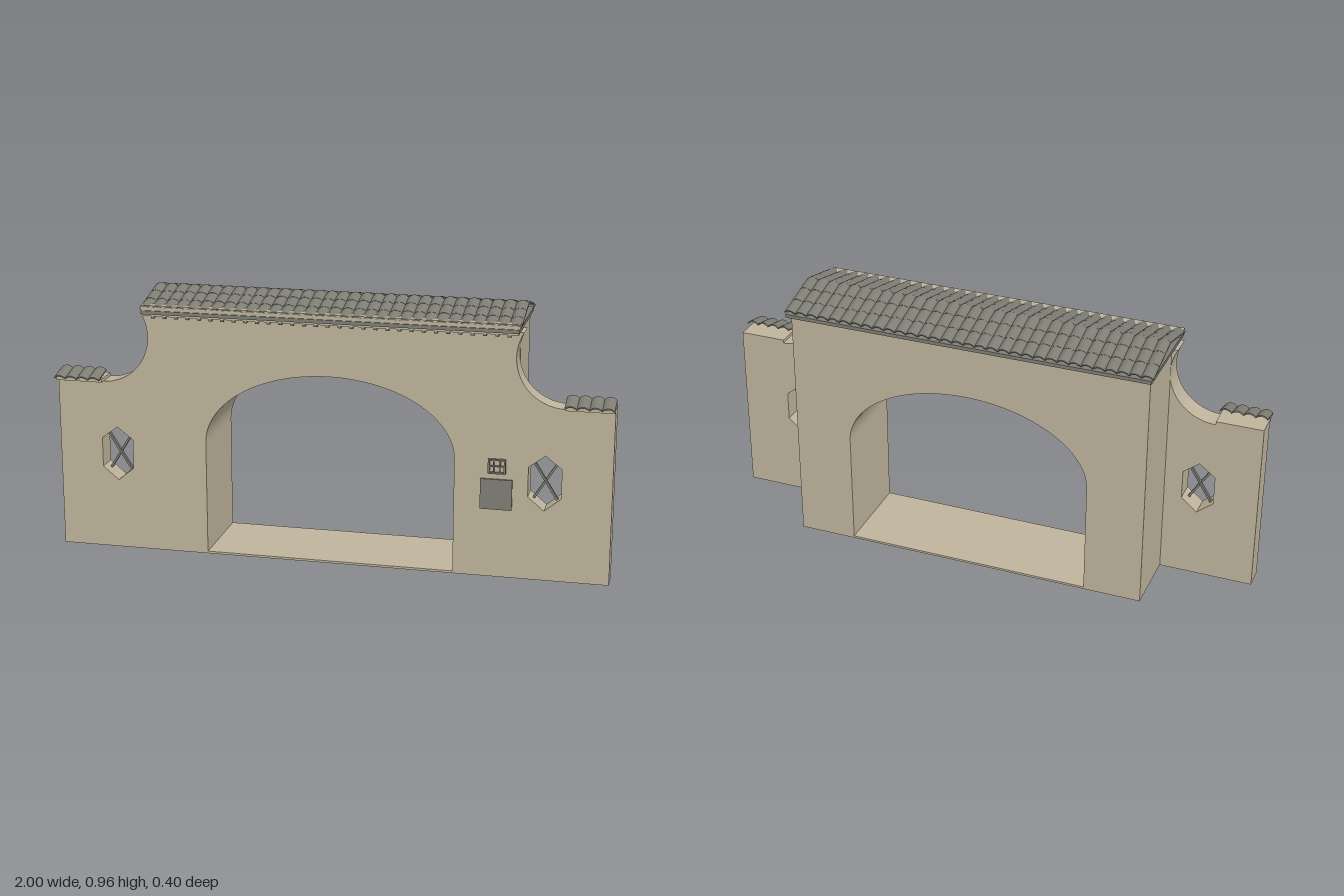
import * as THREE from 'three';

const wallMat = new THREE.MeshStandardMaterial({ color: 0xbfb49c });
wallMat.name = 'sand plaster';
const tileMat = new THREE.MeshStandardMaterial({ color: 0x7f7e75 });
tileMat.name = 'grey tile';

const PITCH = 0.0422;

export function createModel() {
  const root = new THREE.Group();
  root.name = 'gateway';

  const add = (name, geo, mat, x = 0, y = 0, z = 0) => {
    const m = new THREE.Mesh(geo, mat);
    m.name = name;
    m.position.set(x, y, z);
    root.add(m);
    return m;
  };
  // Box given by its limits on each axis
  const box = (name, mat, x0, x1, y0, y1, z0, z1) =>
    add(name, new THREE.BoxGeometry(x1 - x0, y1 - y0, z1 - z0), mat,
      (x0 + x1) / 2, (y0 + y1) / 2, (z0 + z1) / 2);
  const extrude = (shape, depth) =>
    new THREE.ExtrudeGeometry(shape, { depth, bevelEnabled: false, curveSegments: 28 });

  // Arch opening, traced along the bottom edge of a wall outline
  const archNotch = (s) => {
    s.lineTo(-0.45, 0);
    s.lineTo(-0.45, 0.42);
    s.absellipse(0, 0.42, 0.45, 0.27, Math.PI, 0, true);
    s.lineTo(0.45, 0);
  };

  // Front wall with wings, scooped shoulders and six-sided windows
  const front = new THREE.Shape();
  front.moveTo(-1, 0);
  archNotch(front);
  front.lineTo(1, 0);
  front.lineTo(1, 0.625);
  front.lineTo(0.83, 0.625);
  front.absarc(0.83, 0.797, 0.172, 1.5 * Math.PI, 0.83 * Math.PI, true);
  front.absarc(-0.83, 0.797, 0.172, 0.17 * Math.PI, -0.5 * Math.PI, true);
  front.lineTo(-1, 0.625);
  front.closePath();
  const windows = [[-0.783, 0.357], [0.767, 0.355]];
  for (const [x, y] of windows) {
    const hex = [[0, 0.1], [0.058, 0.055], [0.058, -0.052], [0, -0.1], [-0.058, -0.052], [-0.058, 0.055]];
    front.holes.push(new THREE.Path(hex.map(([a, b]) => new THREE.Vector2(x + a, y + b))));
  }
  add('frontWall', extrude(front, 0.08), wallMat, 0, 0, 0.07);

  // Deep central block behind the front wall
  const block = new THREE.Shape();
  block.moveTo(-0.66, 0);
  archNotch(block);
  block.lineTo(0.66, 0);
  block.lineTo(0.66, 0.885);
  block.lineTo(-0.66, 0.885);
  block.closePath();
  add('centralBlock', extrude(block, 0.245), wallMat, 0, 0, -0.175);
  box('passageFloor', wallMat, -0.45, 0.45, 0, 0.008, -0.175, 0.15);

  // Crossed window bars
  for (const [x, y] of windows) {
    for (const s of [-1, 1]) {
      const bar = add('windowBar', new THREE.BoxGeometry(0.008, 0.18, 0.012), tileMat, x, y, 0.11 + s * 0.004);
      bar.rotation.z = s * 0.56;
    }
  }

  // Wall plaques: a plain panel and a small framed fretwork above it
  box('wallPanel', tileMat, 0.543, 0.655, 0.25, 0.36, 0.149, 0.157);
  const px = 0.6, py = 0.407, h = 0.031;
  const frame = new THREE.Shape();
  const square = (p, r) => {
    p.moveTo(-r, -r * 0.85);
    p.lineTo(r, -r * 0.85);
    p.lineTo(r, r * 0.85);
    p.lineTo(-r, r * 0.85);
    p.closePath();
    return p;
  };
  square(frame, h);
  frame.holes.push(square(new THREE.Path(), h - 0.006));
  add('plaqueFrame', extrude(frame, 0.011), tileMat, px, py, 0.15);
  box('plaqueBar', tileMat, px - 0.026, px + 0.026, py - 0.002, py + 0.002, 0.149, 0.157);
  for (const dx of [-0.011, 0.011])
    box('plaqueBar', tileMat, px + dx - 0.002, px + dx + 0.002, py - 0.022, py + 0.022, 0.149, 0.157);

  // Wavy sheet of roof tiles; its crest lies on local y = 0
  const tileSheet = (waves, pitch, length) => {
    const n = waves * 10, top = [], under = [];
    for (let i = 0; i <= n; i++) {
      const x = (i / 10 - waves / 2) * pitch;
      const c = Math.abs(Math.sin((i / 10) * Math.PI));
      const y = -0.01 + 0.01 * Math.pow(c, 0.8);
      top.push(new THREE.Vector2(x, y));
      under.unshift(new THREE.Vector2(x, y - 0.005));
    }
    return extrude(new THREE.Shape([...top, ...under]), length);
  };

  // Main roof: three overlapping courses on each slope
  const tilt = 0.226, ridgeY = 0.963, ridgeZ = -0.008;
  for (const dir of [1, -1]) {
    const course = (dir > 0 ? 0.188 : 0.192) / Math.cos(tilt) / 3;
    for (let i = 0; i < 3; i++) {
      const geo = tileSheet(32, PITCH, course);
      geo.translate(0, -0.001 * i, dir > 0 ? i * course : -(i + 1) * course);
      add('roofTiles', geo, tileMat, 0, ridgeY, ridgeZ).rotation.x = dir * tilt;
    }
  }

  // Eaves slab, fascia and moulding below the roof
  box('eavesSlab', tileMat, -0.67, 0.67, 0.887, 0.9, -0.2, 0.183);
  box('eavesFascia', wallMat, -0.672, 0.672, 0.9, 0.918, 0.14, 0.178);
  box('eavesMoulding', wallMat, -0.665, 0.665, 0.877, 0.887, 0.138, 0.165);
  for (let i = 0; i < 31; i++) {
    const x = (i - 15) * PITCH;
    box('dentil', tileMat, x - 0.006, x + 0.006, 0.869, 0.877, 0.148, 0.162);
  }

  // Wing ledges, each with a short tilted row of tiles
  for (const s of [-1, 1]) {
    const inner = 0.83, mid = 0.915;
    box('wingLedge', wallMat, s * mid - 0.085, s * mid + 0.085, 0.625, 0.637, 0.07, 0.17);
    const tiles = add('wingTiles', tileSheet(4, (1 - inner) / 4, 0.086), tileMat, s * mid, 0.669, 0.115);
    tiles.rotation.x = tilt;
  }

  return root;
}
